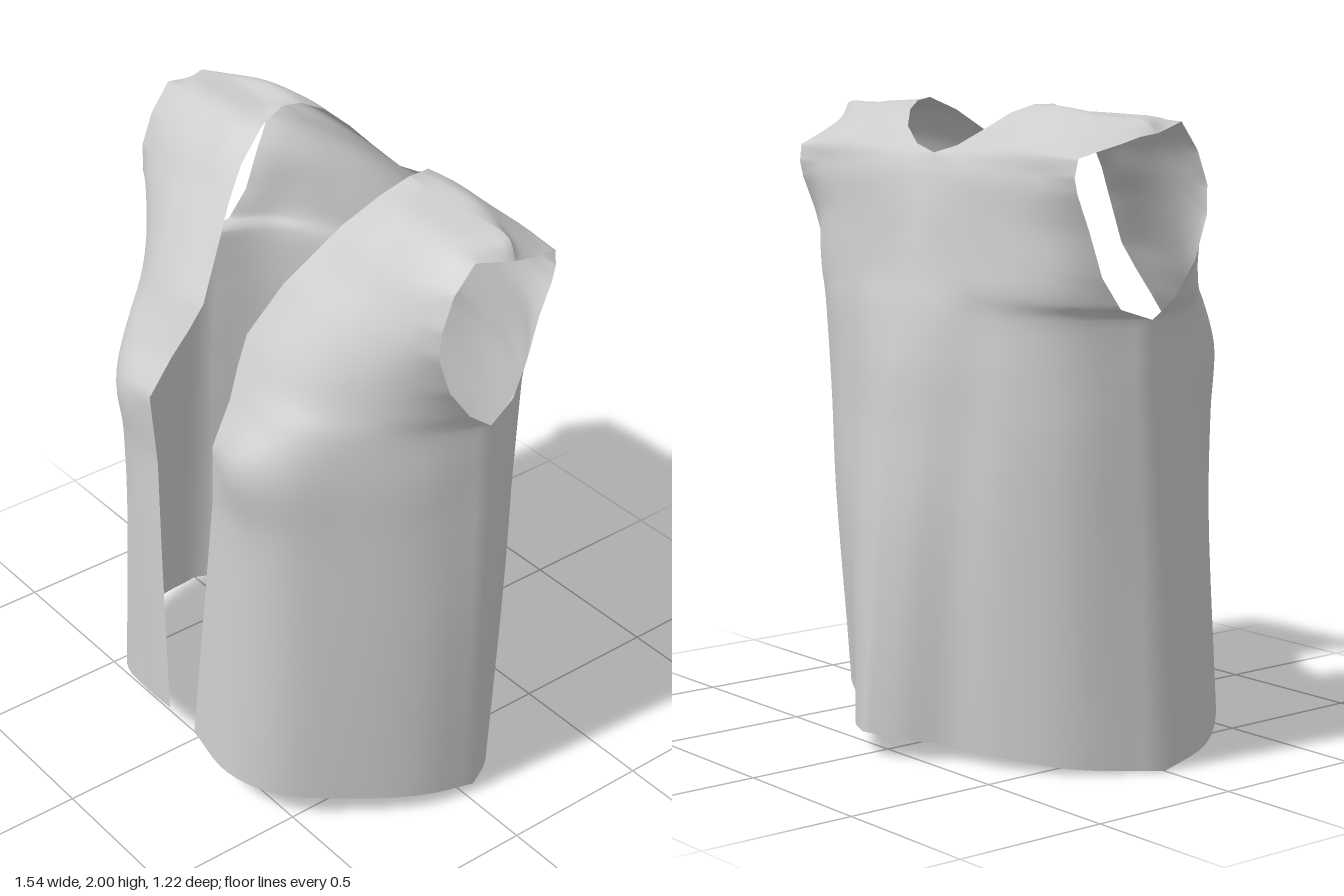
import * as THREE from 'three';
import { mergeVertices } from 'three/addons/utils/BufferGeometryUtils.js';

const COLS = 24; // quads across a panel
const STEPS = 6; // quads between two rows

// A cross-section of six points running from the inner edge (opening, neck or
// back centre) to the outer edge (side seam or armhole). Heights blend y0 -> y1.
function row(y0, y1, xs, zs, bend = 1) {
  return zs.map((z, i) => {
    const t = i / 5;
    const x = xs.length === 2 ? xs[0] + (xs[1] - xs[0]) * t : xs[i];
    return new THREE.Vector3(x, y0 + (y1 - y0) * Math.pow(t, bend), z);
  });
}

// Shoulder crest, shared by the front and back panel of one side
const crestX = [0.305, 0.4, 0.5, 0.61, 0.735, 0.77];
const crestZ = [-0.09, -0.1, -0.11, -0.11, -0.1, -0.09];
const crest = (heights) => heights.map((y, i) => new THREE.Vector3(crestX[i], y, crestZ[i]));

// Front from above the armpit to the shoulder
const frontUpper = [
  row(1.46, 1.43, [0.125, 0.26, 0.4, 0.53, 0.655, 0.73], [0.405, 0.42, 0.385, 0.3, 0.17, 0.02]),
  row(1.54, 1.54, [0.11, 0.24, 0.38, 0.51, 0.635, 0.73], [0.36, 0.375, 0.345, 0.285, 0.2, 0.1]),
  row(1.7, 1.67, [0.16, 0.28, 0.4, 0.52, 0.635, 0.73], [0.26, 0.265, 0.255, 0.23, 0.195, 0.145]),
  row(1.79, 1.76, [0.205, 0.735], [0.19, 0.19, 0.19, 0.185, 0.17, 0.14]),
  row(1.88, 1.86, [0.245, 0.735], [0.11, 0.12, 0.12, 0.125, 0.12, 0.1]),
  row(1.96, 1.945, [0.285, 0.74], [0, 0.02, 0.025, 0.03, 0.03, 0.03], 2),
];

// Back from above the armpit, round the neck, to the shoulder
const backUpper = [
  row(1.48, 1.405, [0, 0.15, 0.3, 0.45, 0.6, 0.705], [-0.41, -0.405, -0.39, -0.37, -0.305, -0.17]),
  row(1.57, 1.5, [0, 0.15, 0.3, 0.45, 0.59, 0.69], [-0.39, -0.39, -0.38, -0.365, -0.32, -0.23]),
  row(1.69, 1.634, [0, 0.685], [-0.36, -0.375, -0.37, -0.36, -0.335, -0.275]),
  row(1.79, 1.74, [0, 0.685], [-0.33, -0.355, -0.36, -0.355, -0.345, -0.32]),
  row(1.84, 1.79, [0, 0.685], [-0.31, -0.335, -0.345, -0.345, -0.34, -0.332]),
  row(1.865, 1.845, [0.1, 0.69], [-0.298, -0.315, -0.325, -0.33, -0.33, -0.322], 2),
  row(1.915, 1.865, [0.19, 0.71], [-0.265, -0.275, -0.28, -0.285, -0.28, -0.262], 2),
  row(1.965, 1.885, [0.25, 0.735], [-0.21, -0.22, -0.225, -0.225, -0.215, -0.2], 2),
  row(1.99, 1.905, [0.29, 0.755], [-0.15, -0.16, -0.17, -0.17, -0.16, -0.145], 2.5),
];

// Hem to armpit, slightly different on each side; the back has a centre fold
const sides = {
  left: {
    front: [
      row(0.13, 0.03, [0.1, 0.3, 0.46, 0.6, 0.715, 0.755], [0.59, 0.61, 0.54, 0.36, 0.15, -0.03]),
      row(0.7, 0.7, [0.13, 0.3, 0.45, 0.58, 0.7, 0.755], [0.55, 0.56, 0.495, 0.34, 0.14, -0.04]),
      row(1.02, 1.02, [0.15, 0.3, 0.44, 0.56, 0.685, 0.75], [0.53, 0.54, 0.485, 0.34, 0.14, -0.05]),
      row(1.24, 1.2, [0.165, 0.3, 0.43, 0.55, 0.68, 0.74], [0.535, 0.555, 0.49, 0.34, 0.14, -0.06]),
      row(1.37, 1.37, [0.15, 0.28, 0.42, 0.54, 0.665, 0.735], [0.455, 0.47, 0.43, 0.32, 0.14, -0.06]),
    ],
    back: [
      row(0.08, 0.03, [-0.02, 0.1, 0.26, 0.47, 0.7, 0.755], [-0.61, -0.55, -0.42, -0.28, -0.13, -0.03]),
      row(0.7, 0.7, [-0.01, 0.12, 0.28, 0.48, 0.69, 0.755], [-0.55, -0.52, -0.44, -0.34, -0.18, -0.04]),
      row(1.02, 1.02, [0, 0.13, 0.29, 0.48, 0.68, 0.75], [-0.505, -0.48, -0.42, -0.35, -0.2, -0.05]),
      row(1.2, 1.2, [0, 0.14, 0.3, 0.47, 0.66, 0.74], [-0.48, -0.46, -0.41, -0.36, -0.23, -0.06]),
      row(1.37, 1.37, [0, 0.15, 0.3, 0.46, 0.63, 0.735], [-0.44, -0.43, -0.4, -0.37, -0.27, -0.06]),
    ],
    crest: crest([2, 1.985, 1.98, 1.98, 1.975, 1.925]),
  },
  right: {
    front: [
      row(0.13, 0, [0.05, 0.2, 0.37, 0.52, 0.67, 0.725], [0.58, 0.565, 0.53, 0.405, 0.21, 0]),
      row(0.7, 0.7, [0.105, 0.23, 0.37, 0.505, 0.645, 0.72], [0.55, 0.55, 0.5, 0.37, 0.18, -0.02]),
      row(1.02, 1.02, [0.137, 0.27, 0.4, 0.52, 0.65, 0.72], [0.53, 0.54, 0.48, 0.35, 0.15, -0.04]),
      row(1.25, 1.2, [0.16, 0.29, 0.41, 0.53, 0.65, 0.72], [0.535, 0.55, 0.485, 0.345, 0.14, -0.06]),
      row(1.37, 1.37, [0.15, 0.28, 0.41, 0.53, 0.65, 0.72], [0.455, 0.47, 0.43, 0.32, 0.14, -0.06]),
    ],
    back: [
      row(0.08, 0, [0.02, 0.12, 0.23, 0.4, 0.58, 0.725], [-0.61, -0.54, -0.43, -0.36, -0.24, 0]),
      row(0.7, 0.7, [0.01, 0.13, 0.25, 0.41, 0.59, 0.72], [-0.55, -0.5, -0.42, -0.38, -0.26, -0.02]),
      row(1.02, 1.02, [0, 0.135, 0.27, 0.43, 0.6, 0.72], [-0.505, -0.465, -0.405, -0.375, -0.26, -0.04]),
      row(1.2, 1.2, [0, 0.14, 0.28, 0.43, 0.6, 0.72], [-0.48, -0.45, -0.4, -0.37, -0.26, -0.06]),
      row(1.37, 1.37, [0, 0.15, 0.29, 0.44, 0.605, 0.72], [-0.44, -0.425, -0.39, -0.36, -0.27, -0.06]),
    ],
    crest: crest([1.99, 1.97, 1.965, 1.96, 1.95, 1.915]),
  },
};

// Loft a panel through its rows: straight along its two edges, curved between
function addPanel(rows, side, flip, positions, index) {
  const base = positions.length / 3;
  const steps = (rows.length - 1) * STEPS;
  const curves = rows[0].map((_, c) => new THREE.CatmullRomCurve3(rows.map((r) => r[c])));
  for (let j = 0; j <= steps; j++) {
    const k = Math.min(Math.floor(j / STEPS), rows.length - 2);
    const section = curves.map((curve, c) =>
      c === 0 || c === 5
        ? rows[k][c].clone().lerp(rows[k + 1][c], j / STEPS - k)
        : curve.getPoint(j / steps));
    const across = new THREE.CatmullRomCurve3(section);
    for (let i = 0; i <= COLS; i++) {
      const p = across.getPoint(i / COLS);
      positions.push(p.x * side, p.y, p.z);
    }
  }
  for (let j = 0; j < steps; j++) {
    for (let i = 0; i < COLS; i++) {
      const a = base + j * (COLS + 1) + i, b = a + 1, d = a + COLS + 1, c = d + 1;
      if (flip) index.push(a, c, b, a, d, c);
      else index.push(a, b, c, a, c, d);
    }
  }
}

export function createModel() {
  const positions = [], index = [], parts = [];
  for (const [name, side] of [['left', 1], ['right', -1]]) {
    const { front, back, crest: shoulder } = sides[name];
    const panels = {
      Front: [...front, ...frontUpper, shoulder],
      Back: [...back, ...backUpper, shoulder],
    };
    for (const [label, rows] of Object.entries(panels)) {
      const start = index.length;
      addPanel(rows, side, (label === 'Back') !== (side < 0), positions, index);
      parts.push({ name: name + label + 'Panel', start, end: index.length });
    }
  }

  // Weld the seams so that shading runs smoothly from panel to panel
  let cloth = new THREE.BufferGeometry();
  cloth.setAttribute('position', new THREE.Float32BufferAttribute(positions, 3));
  cloth.setIndex(index);
  cloth = mergeVertices(cloth, 1e-4);
  cloth.computeVertexNormals();

  // One mesh per panel, sharing the welded vertices
  const vest = new THREE.Group();
  vest.name = 'vest';
  const material = new THREE.MeshStandardMaterial({ color: 0xcccccc, side: THREE.DoubleSide });
  const welded = Array.from(cloth.index.array);
  for (const part of parts) {
    const panel = new THREE.BufferGeometry();
    panel.setAttribute('position', cloth.attributes.position);
    panel.setAttribute('normal', cloth.attributes.normal);
    panel.setIndex(welded.slice(part.start, part.end));
    const mesh = new THREE.Mesh(panel, material);
    mesh.name = part.name;
    vest.add(mesh);
  }
  return vest;
}
